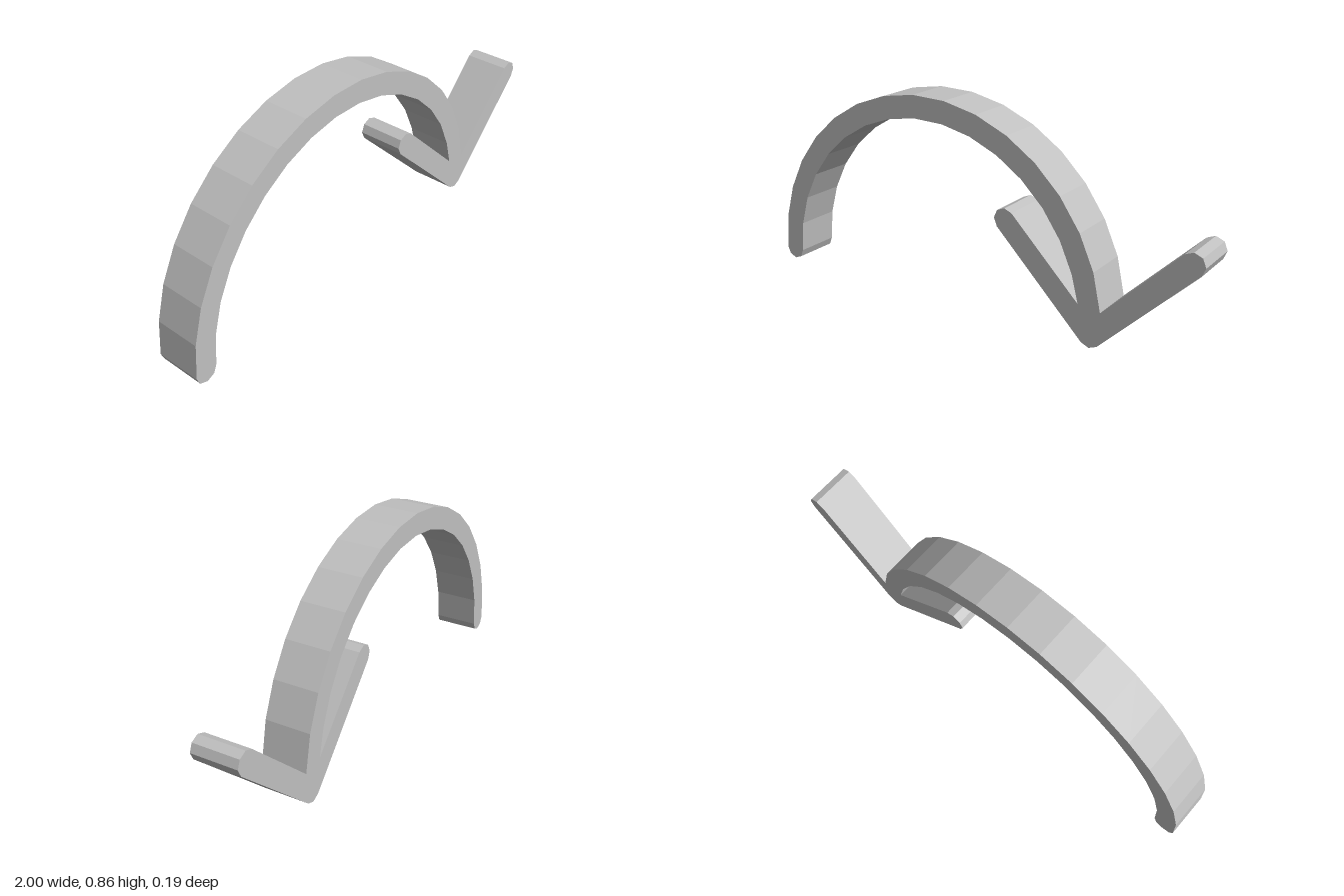
import * as THREE from 'three';

export function createModel() {
  const grey = new THREE.MeshStandardMaterial({ color: 0xc0c0c0 });
  grey.name = 'plain grey';

  const depth = 0.19, r = 0.047, mid = 0.763, cx = -0.19, cy = r;
  const step = 10.75, tip = [0.57, r], rad = Math.PI / 180;
  const pts = [];
  const add = (x, y) => pts.push(new THREE.Vector2(x, y));
  // Faceted round end, running clockwise in 45 degree steps
  const cap = (x, y, from, to) => {
    for (let a = from; a >= to; a -= 45) add(x + r * Math.cos(a * rad), y + r * Math.sin(a * rad));
  };
  // Point on the bow, counted in steps from its left foot
  const bow = (radius, i) => {
    const a = (180 - step * i) * rad;
    add(cx + radius * Math.cos(a), cy + radius * Math.sin(a));
  };

  // Rounded foot and outer edge of the bow
  cap(cx - mid, cy, 360, 180);
  for (let i = 1; i <= 15; i++) bow(mid + r, i);
  add(0.611, 0.154);
  // Arrowhead: right arm, point, left arm
  cap(0.953, 0.428, 135, -45);
  cap(tip[0], tip[1], -45, -135);
  cap(0.187, 0.428, 225, 45);
  add(0.517, 0.166);
  // Inner edge of the bow, back to the foot
  for (let i = 15; i >= 1; i--) bow(mid - r, i);

  const geometry = new THREE.ExtrudeGeometry(new THREE.Shape(pts), { depth, bevelEnabled: false });
  geometry.translate(0, 0, -depth / 2);
  const arrow = new THREE.Mesh(geometry, grey);
  arrow.name = 'curvedArrow';

  const model = new THREE.Group();
  model.name = 'arrowModel';
  model.add(arrow);
  return model;
}
